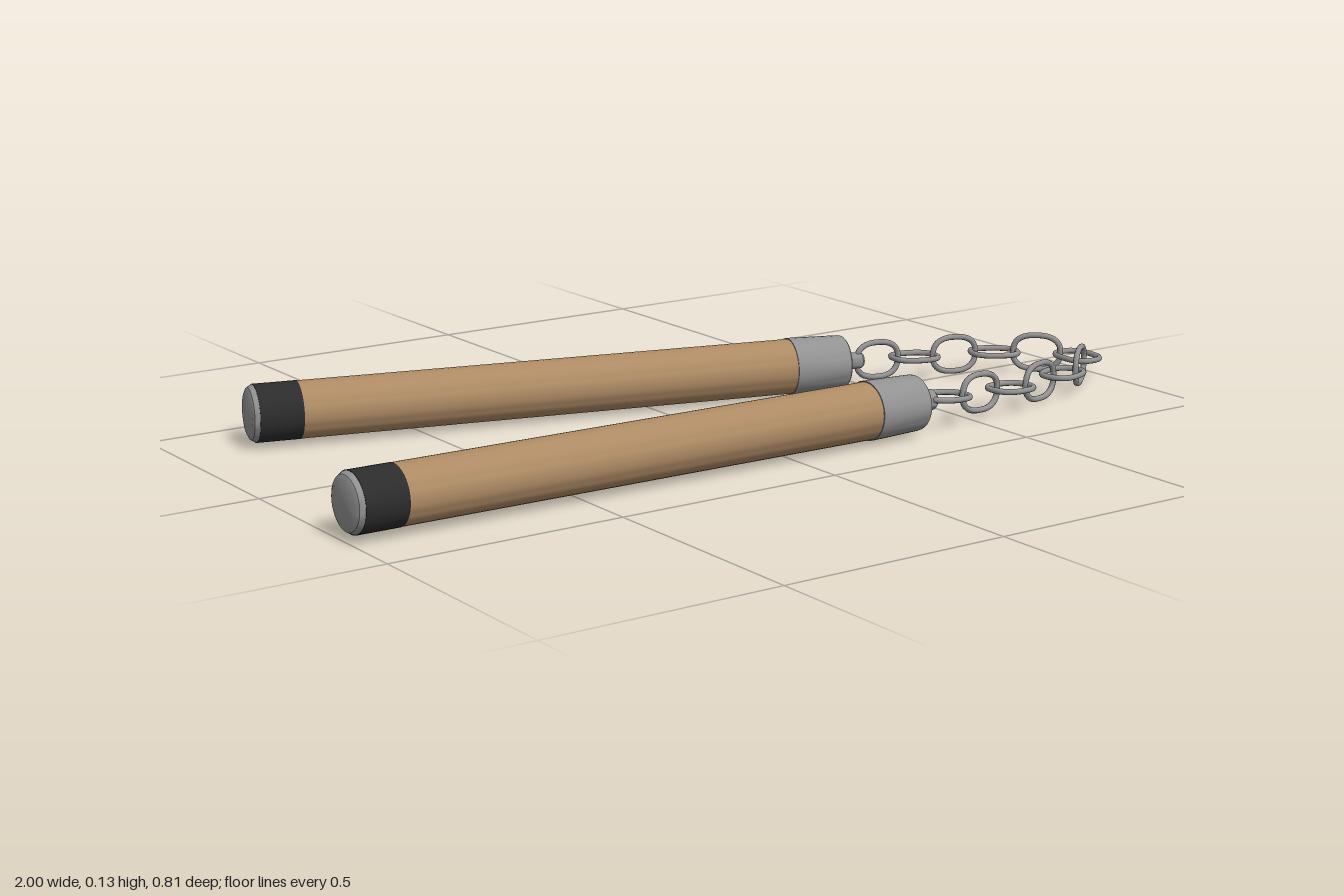
import * as THREE from 'three';
import { toCreasedNormals } from 'three/addons/utils/BufferGeometryUtils.js';

const wood = new THREE.MeshStandardMaterial({ color: 0xad8a64 });
wood.name = 'wood';
const metal = new THREE.MeshStandardMaterial({ color: 0x929292 });
metal.name = 'metal';
const black = new THREE.MeshStandardMaterial({ color: 0x2c2c2c });
black.name = 'black grip';

// Turned part along +x from [x, radius] pairs; start and sweep are angles around the axis
function turned(name, profile, material, start = 0, sweep = Math.PI * 2) {
  const points = profile.map(([x, r]) => new THREE.Vector2(r, x));
  const lathe = new THREE.LatheGeometry(points, Math.round(36 * sweep / (Math.PI * 2)), start, sweep);
  lathe.rotateZ(-Math.PI / 2);
  const mesh = new THREE.Mesh(toCreasedNormals(lathe, 0.6), material);
  mesh.name = name;
  return mesh;
}

// Stick with its chain end at the origin, running towards -x
function createStick(name, tip, far, knobRadius) {
  const stick = new THREE.Group();
  stick.name = name;
  const d = tip.clone().sub(far);
  const L = d.length();
  const R = 0.06;

  stick.add(turned('endCap', [[-L, 0], [-L, 0.046], [-L + 0.004, 0.054], [-L + 0.014, 0.0595], [-L + 0.02, 0.0595]], metal));
  stick.add(turned('gripBand', [[-L + 0.014, 0.05], [-L + 0.014, R + 0.0005], [-L + 0.105, R + 0.0005], [-L + 0.105, 0.05]], black));

  // Wooden body, with a metal strip on the lower back quarter
  const body = [[-L + 0.1, R], [-0.125, R]];
  stick.add(turned('woodBody', body, wood, Math.PI, Math.PI * 1.5));
  stick.add(turned('lowerStrip', body, metal, Math.PI / 2, Math.PI / 2));

  // Ferrule with a recessed mouth
  stick.add(turned('ferrule', [
    [-0.13, 0.055], [-0.13, 0.062], [-0.122, 0.062], [-0.01, 0.059], [-0.003, 0.058], [0, 0.055],
    [0, 0.048], [-0.035, 0.046], [-0.035, 0],
  ], metal));

  // Swivel pin and knob holding the chain
  const k = knobRadius;
  stick.add(turned('swivel', [
    [-0.036, 0.026], [-0.022, 0.026], [-0.018, 0.012], [0.012, 0.012], [0.016, k * 0.85], [0.021, k],
    [0.043, k], [0.048, k * 0.8], [0.048, 0],
  ], metal));

  stick.position.copy(tip);
  stick.rotation.order = 'YZX';
  stick.rotation.set(0, Math.atan2(-d.z, d.x), Math.asin(d.y / L));
  return stick;
}

// Rounded oblong ring lying in the xy plane
function createLinkGeometry() {
  const points = [];
  for (let i = 0; i < 24; i++) {
    const a = i / 24 * Math.PI * 2, c = Math.cos(a), s = Math.sin(a);
    points.push(new THREE.Vector3(
      0.053 * Math.sign(c) * Math.abs(c) ** 0.8,
      0.039 * Math.sign(s) * Math.abs(s) ** 0.8, 0));
  }
  return new THREE.TubeGeometry(new THREE.CatmullRomCurve3(points, true), 40, 0.0065, 8, true);
}

function createChain() {
  const chain = new THREE.Group();
  chain.name = 'chain';
  const upright = createLinkGeometry();
  const flat = upright.clone().rotateX(Math.PI / 2);
  // Link centres from the front stick round to the back stick
  const centres = [
    [0.417, 0.07, 0.34], [0.517, 0.063, 0.332], [0.615, 0.056, 0.318], [0.714, 0.053, 0.3],
    [0.808, 0.051, 0.27], [0.893, 0.05, 0.232], [0.953, 0.048, 0.159], [0.897, 0.05, 0.086],
    [0.815, 0.052, 0.035], [0.72, 0.055, 0.008], [0.622, 0.058, -0.012], [0.527, 0.062, -0.026],
  ].map((p) => new THREE.Vector3(...p));

  centres.forEach((p, i) => {
    const before = centres[Math.max(i - 1, 0)];
    const after = centres[Math.min(i + 1, centres.length - 1)];
    const along = after.clone().sub(before).normalize();
    const side = along.clone().cross(new THREE.Vector3(0, 1, 0)).normalize();
    const up = side.clone().cross(along);
    const link = new THREE.Mesh(i % 2 ? upright : flat, metal);
    link.name = 'chainLink' + (i + 1);
    link.quaternion.setFromRotationMatrix(new THREE.Matrix4().makeBasis(along, up, side));
    link.position.copy(p);
    chain.add(link);
  });
  return chain;
}

export function createModel() {
  const model = new THREE.Group();
  model.name = 'chainedSticks';
  model.add(createStick('frontStick', new THREE.Vector3(0.332, 0.07, 0.342), new THREE.Vector3(-1, 0.076, 0.342), 0.022));
  model.add(createStick('backStick', new THREE.Vector3(0.443, 0.065, -0.044), new THREE.Vector3(-0.848, 0.073, -0.352), 0.018));
  model.add(createChain());
  return model;
}
